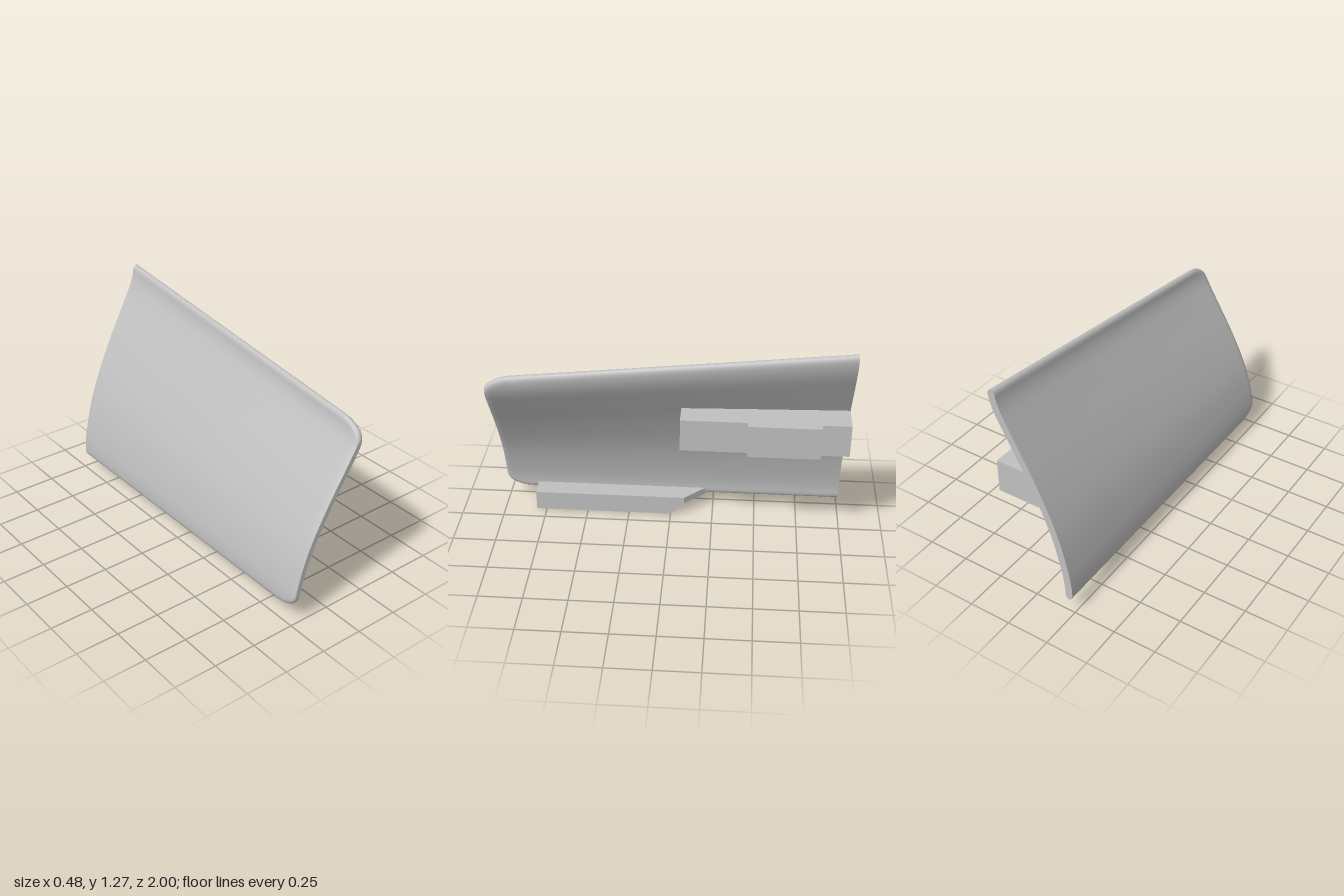
import * as THREE from 'three';

const BOTTOM = 0.08, HALF = 0.022;

// Centre line of the curved panel at its front end: height -> x
const heights = [0.08, 0.15, 0.27, 0.43, 0.65, 0.84, 0.95, 1.0, 1.045];
const offsets = [-0.215, -0.213, -0.187, -0.132, -0.018, 0.098, 0.161, 0.177, 0.18];
const spline = new THREE.CubicInterpolant(heights, offsets, 1, new Float32Array(1));

const topAt = (z) => 1.1575 - 0.1125 * z;
const stretch = (z) => (topAt(z) - BOTTOM) / (1.045 - BOTTOM);

// x of the panel's middle surface; the profile is stretched upward towards the rear
function panelX(y, z) {
  const v = THREE.MathUtils.clamp((y - BOTTOM) / (topAt(z) - BOTTOM), 0, 1);
  return spline.evaluate(BOTTOM + v * (1.045 - BOTTOM))[0] + 0.01 * (1 - z) * v ** 5;
}

// Closed loop around the panel's thickness at one z: up the right side, down the left
function panelLoop(z, n) {
  const corner = Math.max(0, (z - 0.85) / 0.15);
  const inset = 0.085 * (1 - Math.sqrt(Math.max(0, 1 - corner * corner)));
  const low = BOTTOM + inset, high = topAt(z) - inset;
  const thin = z > 0.97 ? 1 - 0.35 * ((z - 0.97) / 0.03) ** 2 : 1;
  const loop = [];
  for (let i = 0; i < 2 * n; i++) {
    const k = i <= n ? i : 2 * n - i;
    const side = i <= n ? 1 : -1;
    const y = low + (high - low) * (1 - Math.cos(Math.PI * k / n)) / 2;
    const edge = Math.min(1, Math.min(y - low, high - y) / 0.03);
    const h = side * HALF * thin * Math.sqrt(Math.max(0, 1 - (1 - edge) ** 2));
    const a = Math.max(BOTTOM, y - 0.01), b = Math.min(topAt(z), y + 0.01);
    const slope = (panelX(b, z) - panelX(a, z)) / (b - a);
    const len = Math.hypot(1, slope);
    loop.push([panelX(y, z) + h / len, y - h * slope / len, z]);
  }
  return loop;
}

function panelGeometry() {
  const n = 40, m = 2 * n, zs = [];
  for (let i = 0; i <= 16; i++) zs.push(-1 + 1.85 * i / 16);
  for (let i = 1; i <= 12; i++) zs.push(0.85 + 0.15 * Math.sin(Math.PI / 2 * i / 12));
  const positions = [], index = [];
  zs.forEach((z) => panelLoop(z, n).forEach((p) => positions.push(...p)));
  for (let j = 0; j < zs.length - 1; j++) {
    for (let i = 0; i < m; i++) {
      const a = j * m + i, b = j * m + (i + 1) % m;
      index.push(a, b, a + m, b, b + m, a + m);
    }
  }
  // Flat end caps with their own corners so the edges stay sharp
  for (const [z, front] of [[-1, false], [1, true]]) {
    const s = positions.length / 3;
    panelLoop(z, n).forEach((p) => positions.push(...p));
    for (let i = 0; i < n; i++) {
      const r = s + i, r2 = s + i + 1, l = s + (m - i) % m, l2 = s + m - i - 1;
      if (front) index.push(r, r2, l2, r, l2, l);
      else index.push(r, l2, r2, r, l, l2);
    }
  }
  const g = new THREE.BufferGeometry();
  g.setAttribute('position', new THREE.Float32BufferAttribute(positions, 3));
  g.setIndex(index);
  g.computeVertexNormals();
  return g;
}

function extrude(points, depth, steps = 1) {
  const shape = new THREE.Shape(points.map(([x, y]) => new THREE.Vector2(x, y)));
  return new THREE.ExtrudeGeometry(shape, { depth, steps, bevelEnabled: false });
}

// Upper block whose inner side follows the panel
function blockGeometry() {
  const g = extrude([[0, 0.64], [0.2, 0.64], [0.2, 0.833], [0.05, 0.833], [0.025, 0.74]], 0.93, 6);
  g.translate(0, 0, -1);
  const p = g.attributes.position;
  for (let i = 0; i < p.count; i++) {
    if (p.getX(i) < 0.1) p.setX(i, panelX(p.getY(i), p.getZ(i)));
  }
  g.computeVertexNormals();
  return g;
}

export function createModel() {
  const model = new THREE.Group();
  const grey = new THREE.MeshStandardMaterial({ color: 0xc0c0c0 });
  grey.name = 'light grey';
  const add = (name, geometry) => {
    const mesh = new THREE.Mesh(geometry, grey);
    mesh.name = name;
    model.add(mesh);
  };

  add('curvedPanel', panelGeometry());
  add('upperBlock', blockGeometry());

  // Raised pad on the outer side of the block
  add('blockPad', new THREE.BoxGeometry(0.04, 0.193, 0.4).translate(0.22, 0.7365, -0.64));

  // Lower bracket: flat flange tapering to the rear, drawn in plan as (x, -z)
  const flange = extrude([[-0.215, -0.81], [-0.08, -0.81], [-0.08, 0.08], [-0.195, 0.205], [-0.215, 0.205]], 0.04);
  add('lowerFlange', flange.rotateX(-Math.PI / 2).translate(0, 0.08, 0));

  // Downward lip with a sloped rear end, drawn from the side as (-z, y)
  const lip = extrude([[-0.81, 0], [0, 0], [0.08, 0.08], [-0.81, 0.08]], 0.05);
  add('lowerLip', lip.rotateY(Math.PI / 2).translate(-0.13, 0, 0));

  return model;
}
